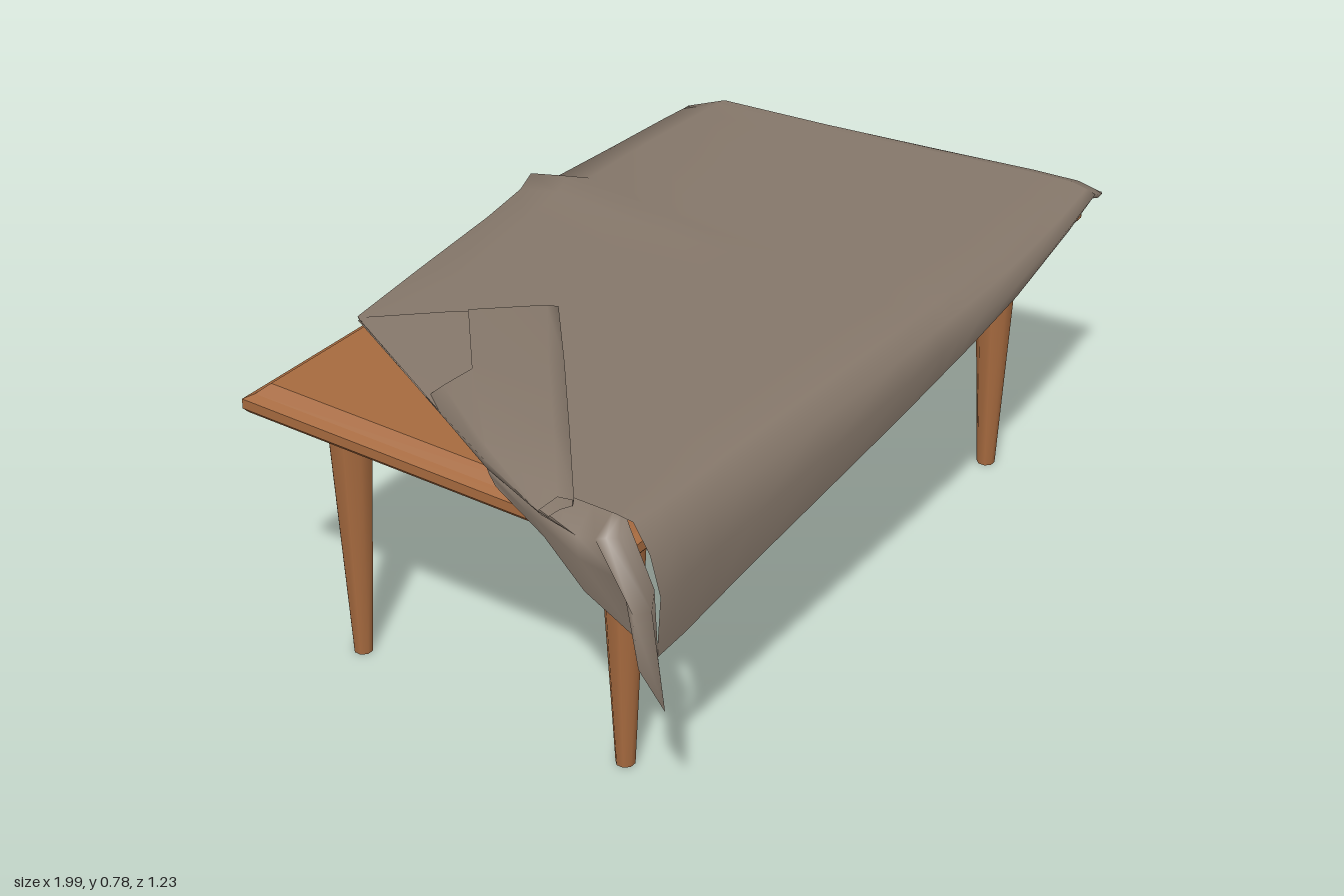
import * as THREE from 'three';

// Smooth grid surface through rows of [x, y, z] points
function loft(rows) {
  const n = rows[0].length, index = [];
  for (let i = 0; i < rows.length - 1; i++) {
    for (let j = 0; j < n - 1; j++) {
      const a = i * n + j, b = a + n;
      index.push(a, a + 1, b, b, a + 1, b + 1);
    }
  }
  const g = new THREE.BufferGeometry();
  g.setAttribute('position', new THREE.Float32BufferAttribute(rows.flat(2), 3));
  g.setIndex(index);
  g.computeVertexNormals();
  return g;
}

export function createModel() {
  const model = new THREE.Group();
  const wood = new THREE.MeshStandardMaterial({ color: 0xa66a3f });
  wood.name = 'warm wood';
  const fabric = new THREE.MeshStandardMaterial({ color: 0x85776a, side: THREE.DoubleSide });
  fabric.name = 'taupe cloth';
  const add = (name, geometry, material) => {
    const m = new THREE.Mesh(geometry, material);
    m.name = name;
    model.add(m);
    return m;
  };

  // Tabletop: slab, then a raised panel with chamfered edges
  const slab = (name, y0, y1, inset0, inset1) => {
    const g = new THREE.BoxGeometry(1, 1, 1).toNonIndexed();
    const p = g.attributes.position;
    for (let i = 0; i < p.count; i++) {
      const up = p.getY(i) > 0, inset = up ? inset1 : inset0;
      p.setXYZ(i, Math.sign(p.getX(i)) * (0.905 - inset), up ? y1 : y0,
        Math.sign(p.getZ(i)) * (0.51 - inset) - 0.02);
    }
    g.computeVertexNormals();
    add(name, g, wood);
  };
  slab('tabletopLowerEdge', 0.635, 0.645, 0.008, 0);
  slab('tabletopEdge', 0.645, 0.668, 0, 0);
  slab('tabletopBevel', 0.668, 0.678, 0, 0.02);
  slab('tabletopPanel', 0.678, 0.7, 0.02, 0.045);

  // Tapered legs
  const legGeometry = new THREE.CylinderGeometry(0.054, 0.022, 0.637, 8);
  legGeometry.rotateY(Math.PI / 8);
  for (const x of [-0.75, 0.75]) {
    for (const z of [-0.37, 0.355]) {
      add('leg', legGeometry, wood).position.set(x, 0.3185, z);
    }
  }

  // Main cloth stations: back x, front x, back z, back edge y, back hem y, front z, pleat height
  const stations = [
    [-0.89, -0.89, 0.12, 0.72, 0.72, 0.545, 0],
    [-0.8, -0.8, -0.05, 0.72, 0.72, 0.55, 0],
    [-0.7, -0.7, -0.24, 0.72, 0.72, 0.55, 0],
    [-0.57, -0.57, -0.49, 0.725, 0.72, 0.55, 0.005],
    [-0.3, -0.3, -0.54, 0.715, 0.71, 0.555, 0],
    [0.0, 0.0, -0.58, 0.71, 0.7, 0.56, 0],
    [0.15, 0.15, -0.6, 0.71, 0.69, 0.56, 0.005],
    [0.21, 0.22, -0.615, 0.71, 0.66, 0.56, 0.018],
    [0.26, 0.3, -0.59, 0.7, 0.605, 0.56, 0],
    [0.5, 0.5, -0.59, 0.69, 0.56, 0.555, 0],
    [0.72, 0.78, -0.58, 0.69, 0.515, 0.53, 0],
    [0.78, 0.92, -0.575, 0.69, 0.52, 0.51, 0],
  ];
  const rows = stations.map(([xb, xf, zb, yb, hem, zf, pleat]) => {
    const frontHem = 0.555 + 0.15 * xf;
    const zTop = zb + (yb < 0.72 ? 0.11 : 0.03), zEdge = zf - 0.06;
    const row = [
      [xb, hem, zb + (yb - hem) * 0.12],
      [xb, (yb + hem) / 2, zb + 0.005],
      [xb, yb + pleat, zb],
      [xb, 0.722 + (yb < 0.72 ? 0.012 : 0) + pleat, zTop],
    ];
    for (const t of [0.3, 0.6, 0.88]) {
      row.push([xb + (xf - xb) * t, 0.726 + pleat * (0.6 - t) * 0.8, zTop + (zEdge - zTop) * t]);
    }
    row.push([xf, 0.722, zEdge]);
    row.push([xf, 0.72 + (frontHem - 0.72) * 0.2, zf - 0.02]);
    row.push([xf, 0.72 + (frontHem - 0.72) * 0.5, zf + 0.005]);
    row.push([xf, frontHem, zf - 0.005]);
    return row;
  });
  add('clothSheet', loft(rows), fabric);

  // Right-hand lip that curls down more toward the front
  const lip = rows[rows.length - 1].map(([x, y, z], j) => {
    const t = Math.max(0, Math.min(1, (z + 0.1) / 0.6));
    return [
      [x, y, z],
      [x + 0.015 + 0.02 * t, y - 0.012 * t, z],
      [x + 0.022 + 0.048 * t, j > 6 ? Math.min(y, 0.68) : y - 0.035 * t, Math.min(z, 0.495)],
    ];
  });
  add('clothLip', loft(lip), fabric);

  // Left drape with the pointed hanging corner
  add('clothCornerDrape', loft([
    [[-0.88, 0.725, 0.46], [-0.9, 0.715, 0.485], [-0.91, 0.6, 0.55], [-0.885, 0.415, 0.54]],
    [[-0.88, 0.725, 0.46], [-0.93, 0.705, 0.48], [-0.94, 0.57, 0.565], [-0.96, 0.36, 0.61]],
    [[-0.88, 0.725, 0.45], [-0.945, 0.705, 0.46], [-0.97, 0.57, 0.54], [-1.0, 0.47, 0.575]],
    [[-0.88, 0.725, 0.43], [-0.955, 0.7, 0.44], [-0.935, 0.61, 0.49], [-0.94, 0.49, 0.53]],
    [[-0.88, 0.725, 0.38], [-0.965, 0.7, 0.4], [-0.955, 0.64, 0.4], [-0.94, 0.555, 0.4]],
    [[-0.87, 0.725, 0.25], [-0.925, 0.715, 0.25], [-0.93, 0.68, 0.26], [-0.925, 0.635, 0.29]],
    [[-0.86, 0.722, 0.12], [-0.89, 0.72, 0.12], [-0.895, 0.71, 0.13], [-0.9, 0.69, 0.15]],
  ]), fabric);

  // Turned-back corner: lower layer from the fold line, then a strip doubled over it
  add('clothFoldUnderside', loft([
    [[-0.57, 0.727, -0.49], [-0.455, 0.75, -0.305], [-0.34, 0.757, -0.12]],
    [[-0.73, 0.73, -0.19], [-0.63, 0.752, -0.02], [-0.53, 0.755, 0.04]],
    [[-0.89, 0.722, 0.12], [-0.83, 0.745, 0.2], [-0.75, 0.745, 0.22]],
    [[-0.95, 0.705, 0.32], [-0.935, 0.722, 0.34], [-0.92, 0.73, 0.36]],
  ]), fabric);
  add('clothFoldStrip', loft([
    [[-0.34, 0.757, -0.12], [-0.335, 0.767, -0.118], [-0.355, 0.774, -0.135], [-0.47, 0.775, -0.26]],
    [[-0.53, 0.755, 0.04], [-0.525, 0.768, 0.042], [-0.55, 0.777, 0.02], [-0.67, 0.777, -0.09]],
    [[-0.75, 0.745, 0.22], [-0.745, 0.763, 0.222], [-0.77, 0.777, 0.2], [-0.88, 0.762, 0.11]],
    [[-0.92, 0.728, 0.36], [-0.915, 0.74, 0.36], [-0.93, 0.745, 0.33], [-0.955, 0.715, 0.3]],
  ]), fabric);

  // Outer edge of the fold, closing the strip down to the sheet
  add('clothFoldEdge', loft([
    [[-0.67, 0.777, -0.09], [-0.73, 0.755, -0.12], [-0.745, 0.722, -0.155]],
    [[-0.88, 0.762, 0.11], [-0.9, 0.745, 0.12], [-0.89, 0.718, 0.12]],
    [[-0.955, 0.715, 0.3], [-0.957, 0.71, 0.31], [-0.94, 0.705, 0.31]],
    [[-0.965, 0.7, 0.4], [-0.965, 0.7, 0.4], [-0.955, 0.68, 0.4]],
  ]), fabric);

  return model;
}
